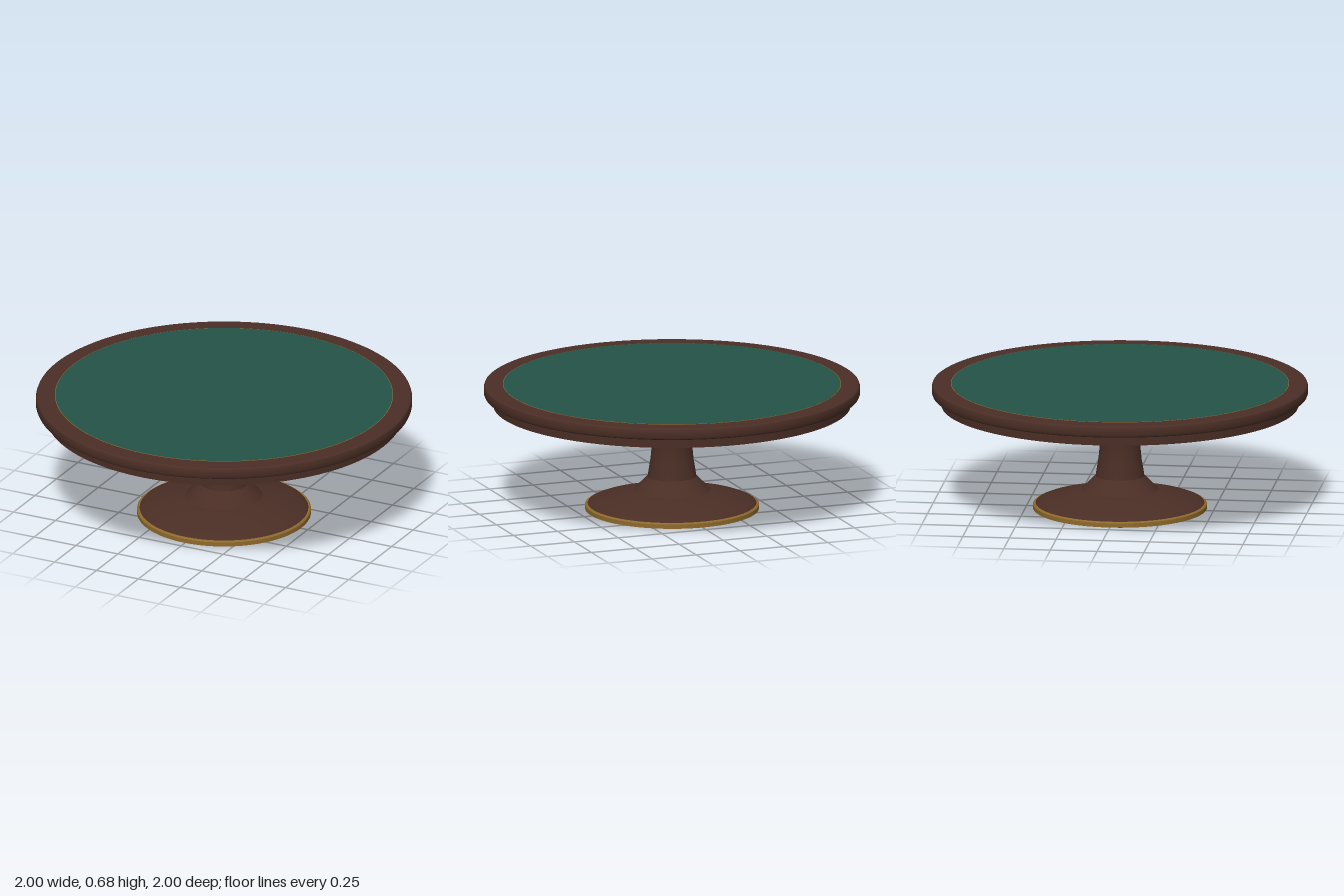
import * as THREE from 'three';
import { toCreasedNormals } from 'three/addons/utils/BufferGeometryUtils.js';

const mat = (name, color) => new THREE.MeshStandardMaterial({ name, color });

export function createModel() {
  const group = new THREE.Group();
  group.name = 'roundTable';
  const wood = mat('wood', 0x4a2e25);
  const brass = mat('brass', 0x8f6a2c);
  const felt = mat('greenFelt', 0x235347);
  const dark = mat('darkUnderside', 0x260c0a);

  // Revolves a profile listed from the bottom outward and up
  function turned(name, profile, material, segments = 96) {
    const points = profile.map(([r, y]) => new THREE.Vector2(r, y));
    const geometry = toCreasedNormals(new THREE.LatheGeometry(points, segments), 0.5);
    const mesh = new THREE.Mesh(geometry, material);
    mesh.name = name;
    group.add(mesh);
  }

  // Foot: dark sole, brass band and flared wooden base
  turned('footSole', [[0, 0], [0.45, 0]], dark);
  turned('footBand', [[0.45, 0], [0.462, 0.003], [0.462, 0.026], [0.455, 0.032], [0.435, 0.032]], brass);
  turned('foot', [[0.45, 0.03], [0.445, 0.036], [0.42, 0.046], [0.32, 0.071], [0.205, 0.105], [0.1, 0.105]], wood);

  // Waisted column opening into the flange under the top
  turned('column', [
    [0.205, 0.105], [0.13, 0.18], [0.115, 0.27], [0.107, 0.35],
    [0.112, 0.45], [0.13, 0.528], [0.235, 0.592], [0.235, 0.622],
  ], wood, 64);

  // Thin apron ring around the recessed underside
  turned('apron', [[0.935, 0.622], [0.935, 0.567], [0.95, 0.567], [0.95, 0.622]], wood, 128);

  // Table top with softened edge
  turned('tableTop', [
    [0, 0.62], [0.988, 0.62], [0.996, 0.626], [1, 0.636], [1, 0.666],
    [0.996, 0.677], [0.988, 0.682], [0.89, 0.682], [0, 0.68],
  ], wood, 128);

  // Felt playing surface with a hairline brass inlay
  turned('brassInlay', [[0.899, 0.682], [0.899, 0.6835], [0.894, 0.6835]], brass, 128);
  turned('feltSurface', [[0.896, 0.682], [0.896, 0.684], [0, 0.684]], felt, 128);

  return group;
}
